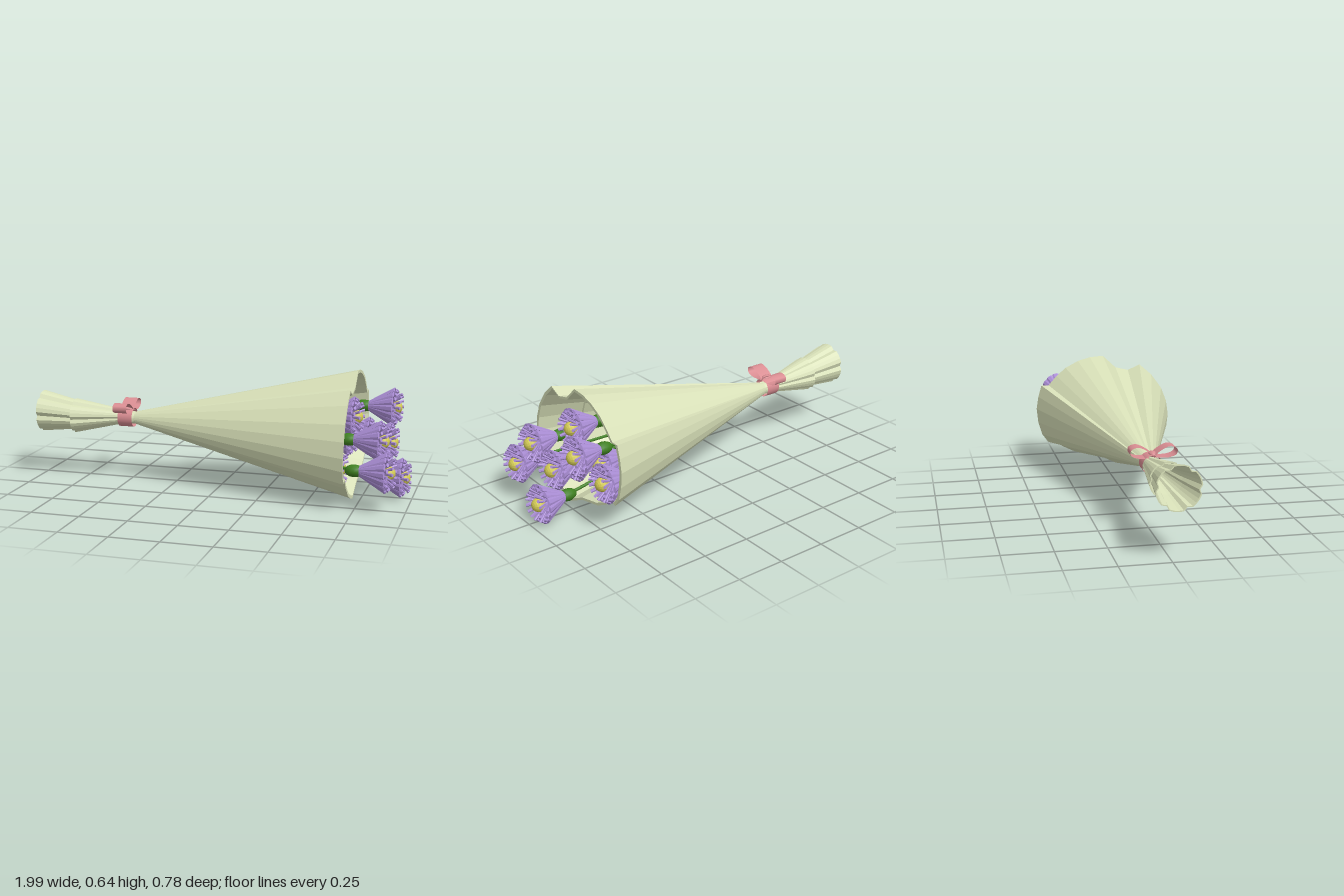
import * as THREE from 'three';
import { mergeGeometries } from 'three/addons/utils/BufferGeometryUtils.js';

const mat = (name, color, extra = {}) => new THREE.MeshStandardMaterial({ name, color, ...extra });
const CY = 0.335; // height of the bouquet's axis

// Rim of the wrapping paper as [z, y], with its overlapping folds
const RIM = [
  [0, .645], [-.075, .64], [-.145, .62], [-.217, .583], [-.27, .537], [-.317, .485],
  [-.358, .485], [-.377, .42], [-.388, .35], [-.38, .27], [-.358, .197], [-.323, .15],
  [-.305, .165], [-.24, .12], [-.17, .085], [-.1, .07], [-.03, .055], [.075, .003],
  [.137, .02], [.21, .053], [.277, .107], [.325, .16], [.36, .152], [.381, .218],
  [.388, .285], [.377, .364], [.346, .444], [.287, .525], [.217, .587], [.148, .557], [.075, .575],
].map(([z, y]) => [z, y - CY]);

// Pleated round section for the paper's tail
const TAIL = Array.from({ length: 30 }, (_, i) => {
  const a = -i / 30 * Math.PI * 2;
  const r = i % 5 === 2 ? 0.88 : 1;
  return [Math.sin(a) * r, Math.cos(a) * r];
});

// Faceted loft of one section through rings [x, scale, centreY, centreZ]
function loft(section, rings) {
  const pos = [], idx = [], n = section.length;
  for (const [x, s, cy = CY, cz = 0] of rings)
    for (const [z, y] of section) pos.push(x, cy + y * s, cz + z * s);
  for (let r = 0; r < rings.length - 1; r++)
    for (let i = 0; i < n; i++) {
      const a = r * n + i, b = r * n + (i + 1) % n;
      idx.push(a, b, a + n, b, b + n, a + n);
    }
  const g = new THREE.BufferGeometry();
  g.setAttribute('position', new THREE.Float32BufferAttribute(pos, 3));
  g.setIndex(idx);
  const flat = g.toNonIndexed();
  flat.computeVertexNormals();
  return flat;
}

// Ring of petals leaning outward from (r0, h0) to (r1, h1) around +y
function petalRing(count, r0, h0, r1, h1, wTip, wBase, thin, turn) {
  const list = [], len = Math.hypot(r1 - r0, h1 - h0);
  for (let i = 0; i < count; i++) {
    const g = new THREE.CylinderGeometry(wTip, wBase, len, 6);
    g.translate(0, len / 2, 0);
    g.scale(thin, 1, 1);
    g.rotateZ(-Math.atan2(r1 - r0, h1 - h0));
    g.translate(r0, h0, 0);
    g.rotateY((i + turn) / count * Math.PI * 2);
    list.push(g);
  }
  return mergeGeometries(list);
}

export function createModel() {
  const model = new THREE.Group();
  model.name = 'bouquet';
  const paper = mat('paper', 0xd9e1b9, { side: THREE.DoubleSide });
  const purple = mat('petal purple', 0xad90d8, { flatShading: true });
  const yellow = mat('pollen yellow', 0xd2ca55, { flatShading: true });
  const green = mat('stem green', 0x3f8020);
  const pink = mat('ribbon pink', 0xd98d92, { side: THREE.DoubleSide });

  const add = (parent, name, geo, material) => {
    const m = new THREE.Mesh(geo, material);
    m.name = name;
    parent.add(m);
    return m;
  };

  // Wrapping paper: outer cone, shorter inner sheet and two flared tails
  add(model, 'outerPaper', loft(RIM, [[-.56, .11], [-.48, .1], [.71, 1], [.71, .955], [-.42, .1]]), paper);
  add(model, 'innerPaper', loft(RIM, [[-.4, .1], [.49, .805], [.49, .755], [-.38, .08]]), paper);
  add(model, 'shortTail', loft(TAIL, [[-.5, .036], [-.57, .042], [-.815, .092, .33, .022],
    [-.815, .086, .33, .022], [-.57, .036]]), paper);
  add(model, 'longTail', loft(TAIL, [[-.57, .034], [-.81, .078, .335, .02], [-1, .11, .348, .026],
    [-1, .104, .348, .026], [-.81, .072, .335, .02], [-.57, .03]]), paper);

  // Ribbon band and bow, both swept along x
  const ribbon = new THREE.Group();
  ribbon.name = 'ribbon';
  ribbon.position.z = .013;
  model.add(ribbon);
  const band = new THREE.CylinderGeometry(.05, .05, .08, 24, 1, true);
  band.rotateZ(Math.PI / 2);
  band.translate(-.525, CY, -.008);
  add(ribbon, 'ribbonBand', band, pink);
  for (const side of [1, -1]) {
    const curve = new THREE.CatmullRomCurve3([
      [0, .378], [.035, .408], [.08, .426], [.113, .413], [.112, .388], [.075, .372], [.03, .372],
    ].map(([z, y]) => new THREE.Vector3(0, y, z * side)), true);
    const pts = curve.getPoints(28);
    const g = new THREE.PlaneGeometry(.075, 1, 1, 28);
    const p = g.attributes.position;
    for (let i = 0; i < p.count; i++) {
      const q = pts[Math.floor(i / 2)];
      p.setXYZ(i, p.getX(i) - .525, q.y, q.z);
    }
    g.computeVertexNormals();
    add(ribbon, 'bowLoop', g, pink);
  }
  const knot = new THREE.SphereGeometry(.02, 12, 8);
  knot.scale(1.7, .8, 1);
  knot.translate(-.525, .382, 0);
  add(ribbon, 'bowKnot', knot, pink);

  // Flower head, shared by all flowers and opening along +y
  const petals = mergeGeometries([
    petalRing(15, .014, 0, .097, .15, .019, .007, .35, 0),
    petalRing(18, .026, .105, .09, .163, .0095, .006, .8, .5),
    petalRing(14, .024, .13, .072, .188, .0085, .005, .8, .2),
  ]);
  const disc = new THREE.SphereGeometry(.036, 14, 10).translate(0, .157, 0);
  const calyx = new THREE.SphereGeometry(.032, 12, 8).scale(1, 1.5, 1).translate(0, -.008, 0);

  // Flowers as [tip x, y, z], some set deeper inside the wrap
  const flowers = [
    [.75, .42, .044], [.91, .422, -.235], [.905, .333, .175], [.92, .28, -.042], [.95, .199, .263],
    [.69, .172, .142], [.78, .253, -.267], [.7, .277, -.123], [.99, .105, -.019],
  ];
  const up = new THREE.Vector3(0, 1, 0);
  for (const [tip, y, z] of flowers) {
    const flower = new THREE.Group();
    flower.name = 'flower';
    model.add(flower);
    const head = new THREE.Group();
    head.name = 'flowerHead';
    head.position.set(tip - .195, y, z);
    head.rotation.z = -Math.PI / 2;
    flower.add(head);
    add(head, 'petals', petals, purple);
    add(head, 'flowerCentre', disc, yellow);
    add(head, 'calyx', calyx, green);

    // Stem running back to the tied neck
    const from = new THREE.Vector3(-.48, CY, 0);
    const dir = head.position.clone().sub(from);
    const stem = add(flower, 'stem', new THREE.CylinderGeometry(.008, .006, dir.length(), 8), green);
    stem.position.copy(from).addScaledVector(dir, .5);
    stem.quaternion.setFromUnitVectors(up, dir.normalize());
  }
  return model;
}
